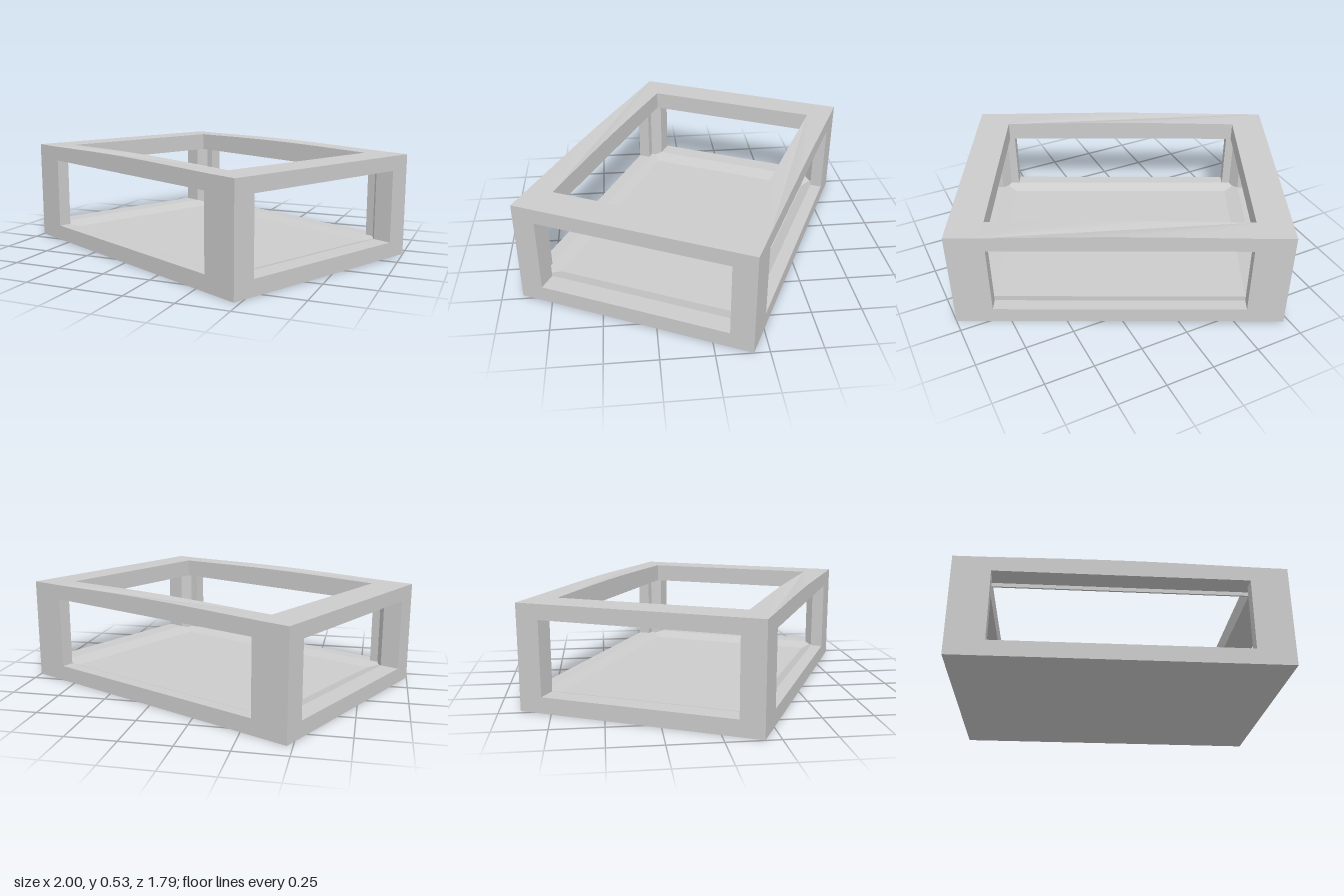
import * as THREE from 'three';

const HX = 0.82, HZ = 0.597;          // half length and half width of the case
const SEG = 12;                       // divisions along the long sides

export function createModel() {
  const group = new THREE.Group();
  group.name = 'displayCaseFrame';
  const mat = new THREE.MeshStandardMaterial({ color: 0xcccccc, flatShading: true });

  const add = (geo, name) => {
    const mesh = new THREE.Mesh(geo, mat);
    mesh.name = name;
    group.add(mesh);
  };

  // Rectangle inset from the outer faces, with extra points on the long sides
  const rectangle = (insetX, insetZ) => {
    const x = HX - insetX, z = HZ - insetZ, pts = [];
    for (let i = 0; i <= SEG; i++) pts.push(new THREE.Vector2(-x + 2 * x * i / SEG, -z));
    for (let i = 0; i <= SEG; i++) pts.push(new THREE.Vector2(x - 2 * x * i / SEG, z));
    return pts;
  };

  // Upright extrusion of a plan outline between two heights
  const slab = (shape, y0, y1) => {
    const geo = new THREE.ExtrudeGeometry(shape, { depth: y1 - y0, bevelEnabled: false });
    return geo.rotateX(-Math.PI / 2).translate(0, y0, 0);
  };

  const ring = (outer, inner, y0, y1) => {
    const shape = new THREE.Shape(rectangle(...outer));
    shape.holes.push(new THREE.Path(rectangle(...inner)));
    return slab(shape, y0, y1);
  };

  // Sloping band between two inset rectangles, seen from above
  const band = (outer, yOuter, inner, yInner) => {
    const pos = [], index = [];
    for (const [[a, b], y] of [[outer, yOuter], [inner, yInner]]) {
      const x = HX - a, z = HZ - b;
      pos.push(-x, y, z, x, y, z, x, y, -z, -x, y, -z);
    }
    for (let i = 0; i < 4; i++) {
      const j = (i + 1) % 4;
      index.push(i, j, j + 4, i, j + 4, i + 4);
    }
    const geo = new THREE.BufferGeometry();
    geo.setAttribute('position', new THREE.Float32BufferAttribute(pos, 3));
    geo.setIndex(index);
    geo.computeVertexNormals();
    return geo;
  };

  // Base: floor plate, outer sill and the slope between them
  add(slab(new THREE.Shape(rectangle(0, 0)), 0, 0.055), 'floor');
  add(ring([0, 0], [0.1, 0.065], 0.055, 0.08), 'sill');
  add(band([0.1, 0.065], 0.08, [0.178, 0.122], 0.055), 'sillSlope');

  // Corner posts: stepped plan with a slanted inner corner
  const plan = [[0, 0], [0.19, 0], [0.19, 0.065], [0.145, 0.065], [0.1, 0.115], [0, 0.115]];
  for (const sx of [-1, 1]) for (const sz of [-1, 1]) {
    const pts = plan.map(([a, b]) => new THREE.Vector2(sx * (HX - a), sz * (HZ - b)));
    add(slab(new THREE.Shape(pts), 0.055, 0.46), 'cornerPost');
  }

  // Top rim, its upper face bowed slightly along the long sides
  const topRim = ring([0, 0], [0.173, 0.124], 0.45, 0.525);
  const p = topRim.attributes.position;
  for (let i = 0; i < p.count; i++) {
    if (p.getY(i) > 0.5) p.setY(i, p.getY(i) + 0.01 * (1 - (p.getX(i) / HX) ** 2) ** 2);
  }
  topRim.computeVertexNormals();
  add(topRim, 'topRim');

  // Thin lip hanging around the top opening
  add(ring([0.163, 0.114], [0.173, 0.124], 0.43, 0.45), 'topRimLip');

  // The whole case stands turned on the ground
  group.rotation.y = -0.456;
  return group;
}
